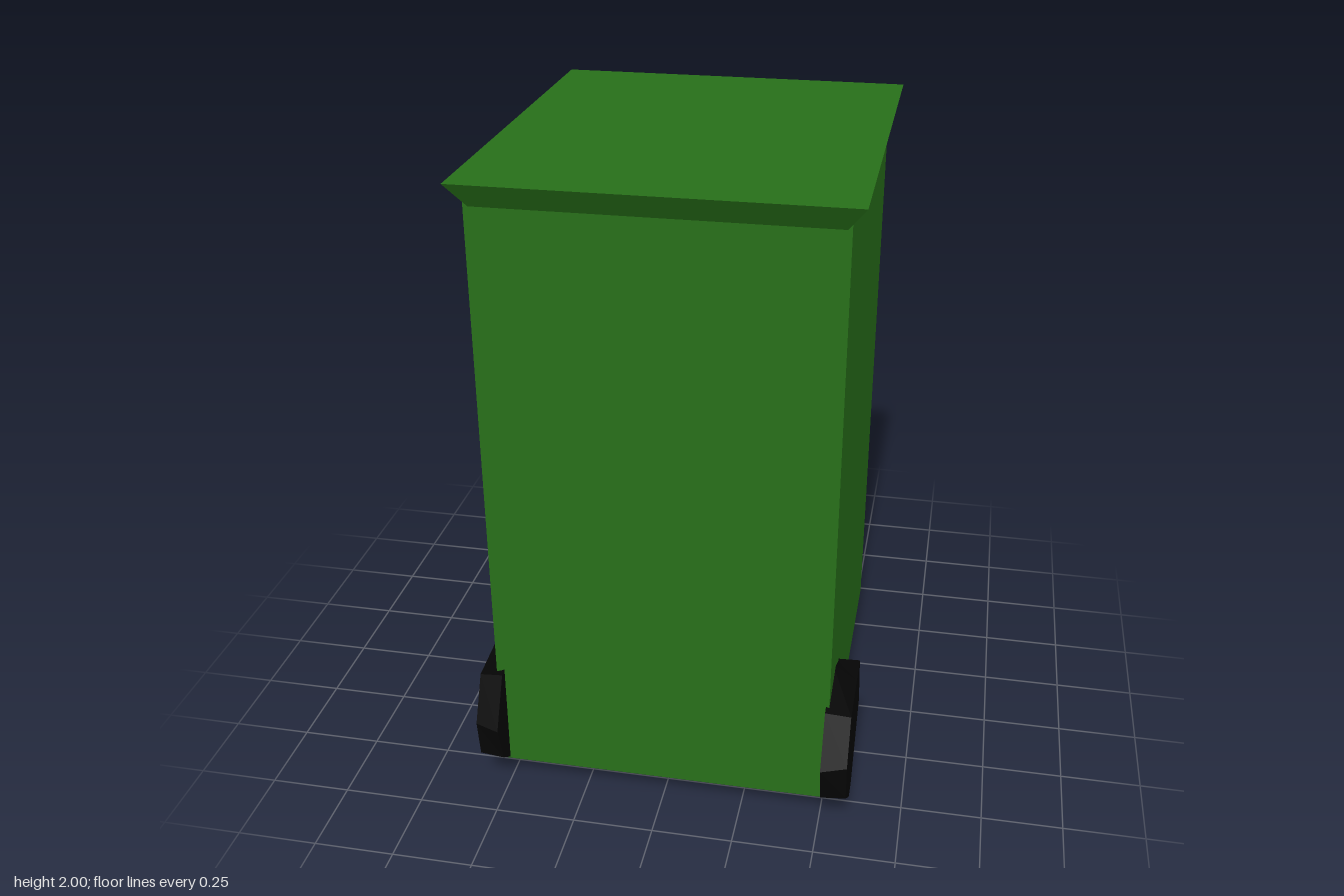
import * as THREE from 'three';

// Solid skin between two matching rings of [x, y, z] corners, with capped ends.
function loft(a, b) {
  const pos = [];
  const tri = (...pts) => pts.forEach((p) => pos.push(...p));
  const n = a.length;
  const mid = (r) => [0, 1, 2].map((k) => r.reduce((s, p) => s + p[k], 0) / n);
  const ca = mid(a), cb = mid(b);
  for (let i = 0; i < n; i++) {
    const j = (i + 1) % n;
    tri(a[i], a[j], b[j]);
    tri(a[i], b[j], b[i]);
    tri(ca, a[j], a[i]);
    tri(cb, b[i], b[j]);
  }
  const g = new THREE.BufferGeometry();
  g.setAttribute('position', new THREE.Float32BufferAttribute(pos, 3));
  g.computeVertexNormals();
  return g;
}

// Horizontal rectangle, counter-clockwise seen from above.
const rect = (x0, x1, z0, z1, y) => [[x0, y, z1], [x1, y, z1], [x1, y, z0], [x0, y, z0]];

export function createModel() {
  const group = new THREE.Group();
  const green = new THREE.MeshStandardMaterial({ color: 0x276f19, flatShading: true });
  green.name = 'bin green';
  const black = new THREE.MeshStandardMaterial({ color: 0x050505, flatShading: true });
  black.name = 'wheel black';

  const add = (name, geometry, material) => {
    const mesh = new THREE.Mesh(geometry, material);
    mesh.name = name;
    group.add(mesh);
  };

  // Tall bin body
  add('body', loft(rect(-0.53, 0.515, -0.635, 0.575, 0.067), rect(-0.53, 0.515, -0.63, 0.575, 1.935)), green);

  // Lid flaring out towards its flat top
  add('lid', loft(rect(-0.513, 0.5, -0.625, 0.572, 1.918), rect(-0.565, 0.555, -0.678, 0.63, 1.998)), green);

  // Chunky wheels: rough polygons [z, y], the outer face smaller than the inner
  const inner = [[0.25, 0.2], [0.3, 0.4], [0.4, 0.45], [0.6, 0.41], [0.68, 0.25], [0.64, 0.12], [0.48, 0], [0.42, 0]];
  const outer = [[0.235, 0.205], [0.31, 0.41], [0.41, 0.405], [0.58, 0.39], [0.65, 0.25], [0.63, 0.12], [0.48, 0], [0.42, 0]];
  for (const [name, side] of [['leftWheel', 1], ['rightWheel', -1]]) {
    const ring = (pts, x) => pts.map(([z, y]) => [side * x, y, z]);
    const a = ring(inner, 0.505), b = ring(outer, 0.583);
    add(name, side > 0 ? loft(a, b) : loft(a.reverse(), b.reverse()), black);
  }
  return group;
}
